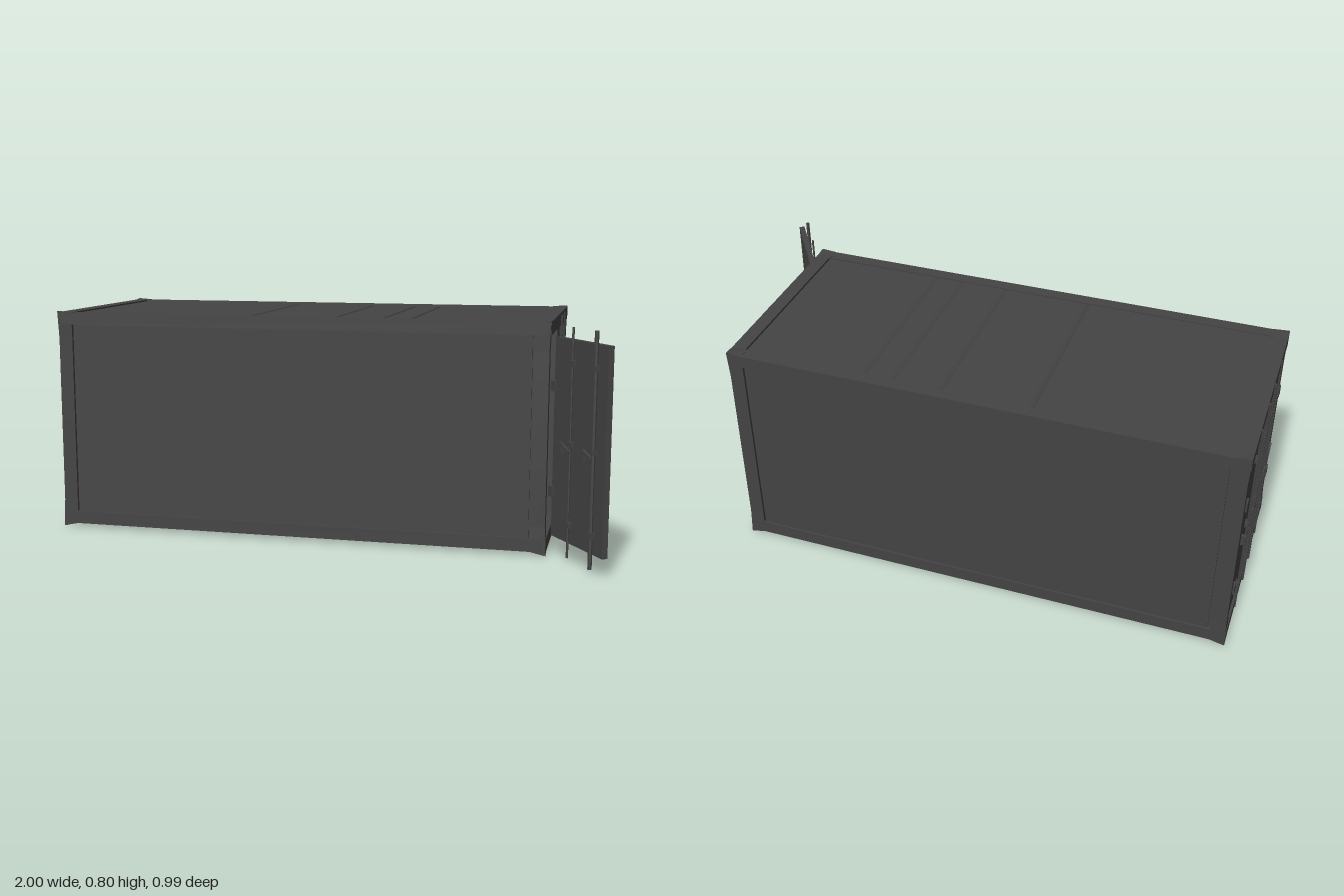
import * as THREE from 'three';

const steel = new THREE.MeshStandardMaterial({ color: 0x444444, flatShading: true });
steel.name = 'darkSteel';

// Container body limits; zc is the middle of its width
const X0 = -0.99, X1 = 0.79, Z0 = -0.5, Z1 = 0.26, TOP = 0.8;
const xc = (X0 + X1) / 2, zc = (Z0 + Z1) / 2;

function add(parent, name, geometry) {
  const mesh = new THREE.Mesh(geometry, steel);
  mesh.name = name;
  parent.add(mesh);
  return mesh;
}

// Box given by its lower and upper limits on each axis
function box(parent, name, x0, x1, y0, y1, z0, z1) {
  const g = new THREE.BoxGeometry(x1 - x0, y1 - y0, z1 - z0);
  g.translate((x0 + x1) / 2, (y0 + y1) / 2, (z0 + z1) / 2);
  return add(parent, name, g);
}

// Corner post whose outermost tips flare up and down
function cornerPost(parent, sx, sz) {
  const w = 0.055, d = 0.046;
  const g = new THREE.BoxGeometry(w, TOP, d, 1, 8, 1);
  const p = g.attributes.position;
  for (let i = 0; i < p.count; i++) {
    const outer = p.getX(i) * sx > 0 && p.getZ(i) * sz > 0;
    if (!outer && p.getY(i) < -0.39) p.setY(i, -TOP / 2 + 0.012);
    if (!outer && p.getY(i) > 0.39) p.setY(i, TOP / 2 - 0.004);
    // pull the shaft slightly inside the corner castings
    if (Math.abs(p.getY(i)) < 0.35) {
      if (p.getX(i) * sx > 0) p.setX(i, p.getX(i) - sx * 0.004);
      if (p.getZ(i) * sz > 0) p.setZ(i, p.getZ(i) - sz * 0.003);
    }
  }
  g.translate(sx > 0 ? X1 - w / 2 : X0 + w / 2, TOP / 2, sz > 0 ? Z1 - d / 2 : Z0 + d / 2);
  add(parent, 'cornerPost', g);
}

// Door leaf hinged at its origin, outer face towards +x, reaching along s * z
function door(name, s) {
  const leaf = new THREE.Group();
  leaf.name = name;
  const span = (n, x0, x1, y0, y1, a, b) =>
    box(leaf, n, x0, x1, y0, y1, Math.min(a * s, b * s), Math.max(a * s, b * s));
  span('doorPanel', -0.02, 0, 0.065, 0.745, 0.002, 0.333);
  for (const a of [0.13, 0.275]) {
    const r = a > 0.2 ? 0.007 : 0.004;
    const rod = add(leaf, 'lockRod', new THREE.CylinderGeometry(r, r, 0.77, 6));
    rod.position.set(0.009, 0.403, a * s);
    for (const y of [0.13, 0.4, 0.67]) span('rodBracket', 0, 0.014, y - 0.009, y + 0.009, a - 0.011, a + 0.011);
    // slanted handle with its catch
    const handle = add(leaf, 'lockHandle', new THREE.BoxGeometry(0.006, 0.01, 0.06));
    handle.position.set(0.012, 0.385, (a - 0.03) * s);
    handle.rotation.x = 0.35 * s;
    span('handleCatch', 0, 0.012, 0.36, 0.4, a - 0.066, a - 0.056);
  }
  for (const y of [0.22, 0.58]) span('hinge', -0.004, 0.01, y - 0.018, y + 0.018, -0.008, 0.02);
  return leaf;
}

export function createModel() {
  const model = new THREE.Group();
  model.name = 'cargoContainer';

  // Frame: posts, long rails and end beams
  const frame = new THREE.Group();
  frame.name = 'frame';
  model.add(frame);
  for (const sx of [-1, 1]) for (const sz of [-1, 1]) cornerPost(frame, sx, sz);
  for (const z of [Z0, Z1 - 0.045]) {
    box(frame, 'topRail', X0 + 0.01, X1 - 0.01, 0.752, 0.795, z, z + 0.045);
    box(frame, 'bottomRail', X0 + 0.01, X1 - 0.01, 0.012, 0.058, z, z + 0.045);
  }
  for (const x of [X0, X1 - 0.05]) {
    box(frame, 'headerBeam', x, x + 0.05, 0.75, 0.796, Z0 + 0.01, Z1 - 0.01);
    box(frame, 'sillBeam', x, x + 0.05, 0.012, 0.06, Z0 + 0.01, Z1 - 0.01);
  }

  // Side walls with a raised field, leaving a shallow groove beside the posts
  for (const s of [-1, 1]) {
    const wall = new THREE.Group();
    wall.name = s > 0 ? 'frontWall' : 'backWall';
    const half = (Z1 - Z0) / 2;
    box(wall, 'wallSheet', X0 + 0.03, X1 - 0.03, 0.04, 0.77, s > 0 ? half - 0.026 : -half + 0.014, s > 0 ? half - 0.014 : -half + 0.026);
    box(wall, 'wallField', X0 + 0.065, X1 - 0.06, 0.06, 0.75, s > 0 ? half - 0.016 : -half + 0.005, s > 0 ? half - 0.005 : -half + 0.016);
    wall.position.z = zc;
    model.add(wall);
  }

  // Floor
  box(model, 'floor', X0 + 0.02, X1 - 0.02, 0.014, 0.055, Z0 + 0.02, Z1 - 0.02);

  // Roof sheet with shallow creases, drawn as a long section
  const roof = new THREE.Shape();
  roof.moveTo(X0 + 0.03, 0.756);
  roof.lineTo(X1 - 0.03, 0.756);
  roof.lineTo(X1 - 0.03, 0.788);
  for (const x of [0.3, 0.2, 0.03, -0.28]) {
    roof.lineTo(x + 0.012, 0.79);
    roof.lineTo(x, 0.785);
    roof.lineTo(x - 0.004, 0.79);
  }
  roof.lineTo(X0 + 0.03, 0.79);
  const roofGeometry = new THREE.ExtrudeGeometry(roof, { depth: Z1 - Z0 - 0.06, bevelEnabled: false });
  roofGeometry.translate(0, 0, Z0 + 0.03);
  add(model, 'roof', roofGeometry);

  // Right end: one leaf shut, the other swung wide open
  const shut = door('shutDoor', 1);
  shut.position.set(X1 - 0.008, 0, Z0 + 0.047);
  const open = door('openDoor', -1);
  open.position.set(X1 + 0.012, 0, Z1 - 0.045);
  open.rotation.y = -2.555;
  model.add(shut, open);

  // Opposite end: both leaves shut
  const farEnd = new THREE.Group();
  farEnd.name = 'farDoors';
  for (const s of [-1, 1]) {
    const leaf = door('farDoor', s);
    leaf.position.set((X1 - X0) / 2 - 0.008, 0, -s * ((Z1 - Z0) / 2 - 0.047));
    farEnd.add(leaf);
  }
  farEnd.position.set(xc, 0, zc);
  farEnd.rotation.y = Math.PI;
  model.add(farEnd);

  return model;
}
